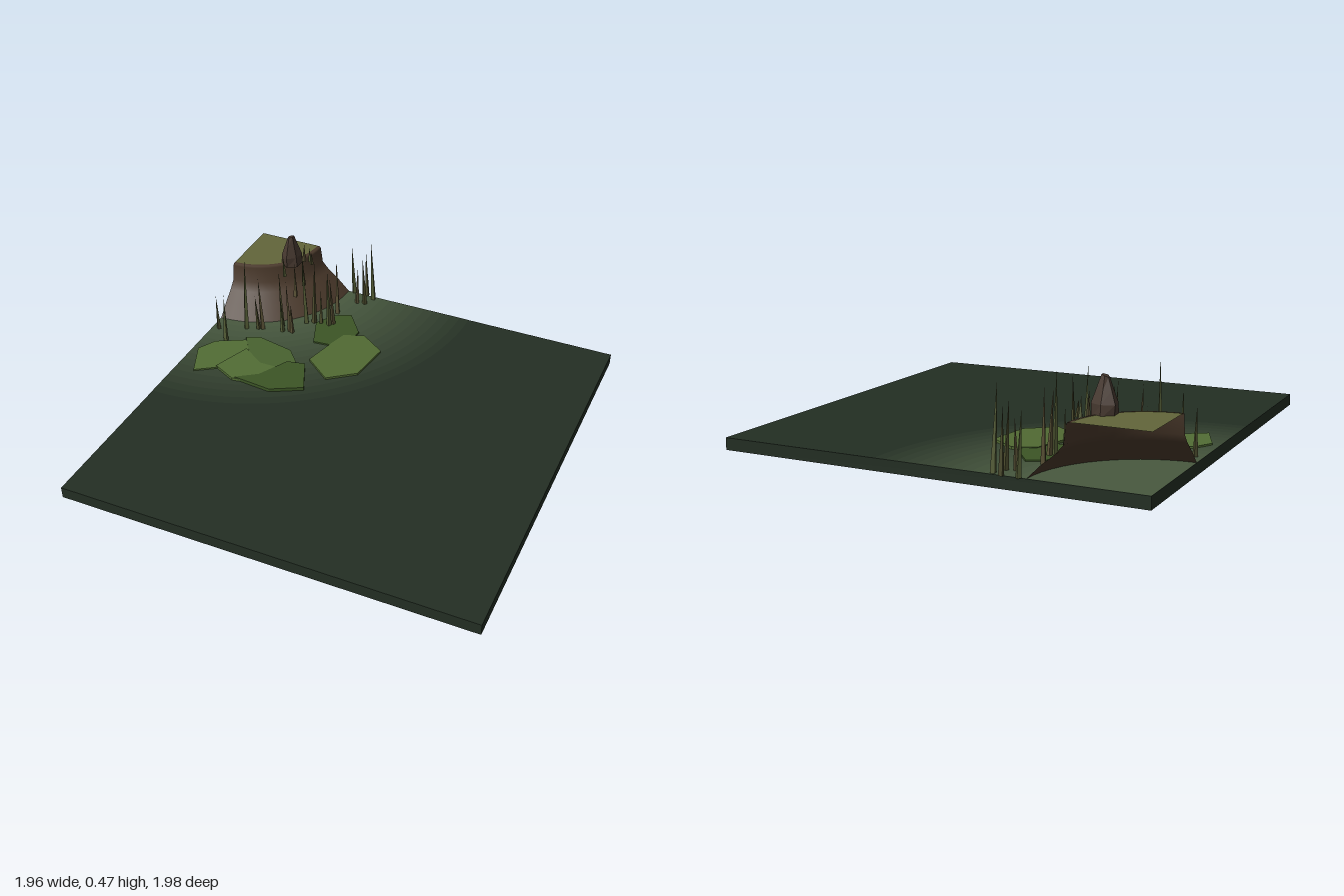
import * as THREE from 'three';

const GROUND = 0.055;
const CORNER = { x: -0.982, z: -0.968 };

function mat(color, flat = false) {
  return new THREE.MeshStandardMaterial({ color, flatShading: flat, side: THREE.DoubleSide });
}

export function createModel() {
  const model = new THREE.Group();
  const add = (name, geometry, material, x = 0, y = 0, z = 0, parent = model) => {
    const mesh = new THREE.Mesh(geometry, material);
    mesh.name = name;
    mesh.position.set(x, y, z);
    parent.add(mesh);
    return mesh;
  };

  // Ground slab
  add('groundSlab', new THREE.BoxGeometry(1.964, GROUND, 1.968), mat(0x232e23), 0, GROUND / 2, 0.016);

  // Pale shore fading outward from the corner
  const shore = new THREE.Group();
  shore.name = 'shore';
  model.add(shore);
  const pale = new THREE.Color(0x48593f), dark = new THREE.Color(0x232e23);
  const bands = 14;
  let inner = 0;
  for (let i = 0; i < bands; i++) {
    const outer = 0.55 + (0.65 * i) / (bands - 1);
    const ring = new THREE.RingGeometry(inner, outer, 24, 1, -Math.PI / 2, Math.PI / 2).rotateX(-Math.PI / 2);
    const color = pale.clone().lerp(dark, i / bands);
    add('shoreBand', ring, mat(color), CORNER.x, GROUND + 0.001, CORNER.z, shore);
    inner = outer;
  }

  // Quarter stump, open along the two cut edges
  const profile = [[0.51, GROUND], [0.45, 0.115], [0.39, 0.165], [0.355, 0.205], [0.345, 0.285], [0.34, 0.295], [0.32, 0.295]];
  add('stumpBark',
    new THREE.LatheGeometry(profile.map(([r, y]) => new THREE.Vector2(r, y)), 14, 0, Math.PI / 2),
    mat(0x49382a), CORNER.x, 0, CORNER.z);
  add('stumpMossTop',
    new THREE.CircleGeometry(0.325, 14, -Math.PI / 2, Math.PI / 2).rotateX(-Math.PI / 2),
    mat(0x62663a, true), CORNER.x, 0.296, CORNER.z);

  // Pointed rock on the stump
  const rock = add('rock', new THREE.CylinderGeometry(0.02, 0.058, 0.16, 6, 3), mat(0x46382f, true), -0.715, 0.365, -0.77);
  const p = rock.geometry.attributes.position;
  for (let i = 0; i < p.count; i++) {
    const x = p.getX(i), y = p.getY(i), z = p.getZ(i);
    const swell = 1 + 0.2 * Math.sin(y * 30 + 2) + 0.12 * Math.sin(x * 90 + z * 60);
    p.setXYZ(i, x * swell, y + (y > 0.07 ? 0.3 * x : 0), z * swell);
  }
  rock.geometry.computeVertexNormals();

  // Flat moss pads: [color, height, outline as x, z pairs]
  const pads = [
    [0x3c5526, 0.064, [[-0.50, -0.61], [-0.44, -0.71], [-0.36, -0.75], [-0.26, -0.62], [-0.27, -0.53], [-0.34, -0.46], [-0.44, -0.45]]],
    [0x516a33, 0.067, [[-0.35, -0.46], [-0.32, -0.56], [-0.22, -0.60], [-0.09, -0.51], [-0.12, -0.29], [-0.25, -0.19], [-0.39, -0.30]]],
    [0x526d35, 0.064, [[-0.95, -0.16], [-0.90, -0.25], [-0.75, -0.33], [-0.65, -0.26], [-0.72, -0.10], [-0.79, -0.05], [-0.88, 0.01]]],
    [0x48622f, 0.067, [[-0.77, -0.34], [-0.70, -0.37], [-0.51, -0.33], [-0.44, -0.25], [-0.47, -0.17], [-0.60, -0.16], [-0.70, -0.24]]],
    [0x526d35, 0.070, [[-0.79, -0.06], [-0.72, -0.25], [-0.60, -0.17], [-0.48, -0.17], [-0.55, -0.02], [-0.67, 0.00]]],
    [0x3c5526, 0.073, [[-0.66, -0.01], [-0.56, -0.08], [-0.48, -0.23], [-0.39, -0.25], [-0.31, -0.07], [-0.46, 0.01]]],
  ];
  for (const [color, top, outline] of pads) {
    const shape = new THREE.Shape(outline.map(([x, z]) => new THREE.Vector2(x, -z)));
    const depth = top - GROUND;
    const geometry = new THREE.ExtrudeGeometry(shape, { depth, bevelEnabled: false }).rotateX(-Math.PI / 2);
    add('mossPad', geometry, mat(color, true), 0, GROUND, 0);
  }

  // Tapered grass blades: [x, z, base height, tip height]
  const blades = [
    [-0.44, -0.97, GROUND, 0.34], [-0.365, -0.97, GROUND, 0.33], [-0.385, -0.88, GROUND, 0.27],
    [-0.32, -0.95, GROUND, 0.43], [-0.345, -0.89, GROUND, 0.34], [-0.44, -0.75, GROUND, 0.38],
    [-0.43, -0.62, GROUND, 0.41], [-0.475, -0.62, GROUND, 0.27], [-0.415, -0.64, GROUND, 0.34],
    [-0.55, -0.60, GROUND, 0.46], [-0.515, -0.62, GROUND, 0.41], [-0.60, -0.50, GROUND, 0.37],
    [-0.63, -0.48, GROUND, 0.27], [-0.655, -0.53, GROUND, 0.38], [-0.58, -0.49, GROUND, 0.24],
    [-0.815, -0.43, GROUND, 0.47], [-0.755, -0.45, GROUND, 0.26], [-0.735, -0.46, GROUND, 0.36],
    [-0.86, -0.29, GROUND, 0.32], [-0.945, -0.37, GROUND, 0.26], [-0.64, -0.66, 0.16, 0.36],
    [-0.70, -0.66, 0.27, 0.38], [-0.62, -0.72, 0.20, 0.37],
    [-0.665, -0.82, 0.28, 0.38], [-0.635, -0.83, 0.28, 0.37], [-0.615, -0.81, 0.28, 0.35],
  ];
  const grass = new THREE.Group();
  grass.name = 'grass';
  model.add(grass);
  const bladeMats = [0x525a34, 0x4a4a2c, 0x5a5236].map((c) => mat(c, true));
  blades.forEach(([x, z, base, tip], i) => {
    const height = tip - base;
    const blade = add('grassBlade', new THREE.ConeGeometry(0.009 + 0.015 * height, height, 4, 1)
      .translate(0, height / 2, 0), bladeMats[i % 3], x, base, z, grass);
    const turn = i * 2.4;
    blade.rotation.set(0.05 * Math.sin(turn), turn, 0.05 * Math.cos(turn));
  });
  return model;
}
